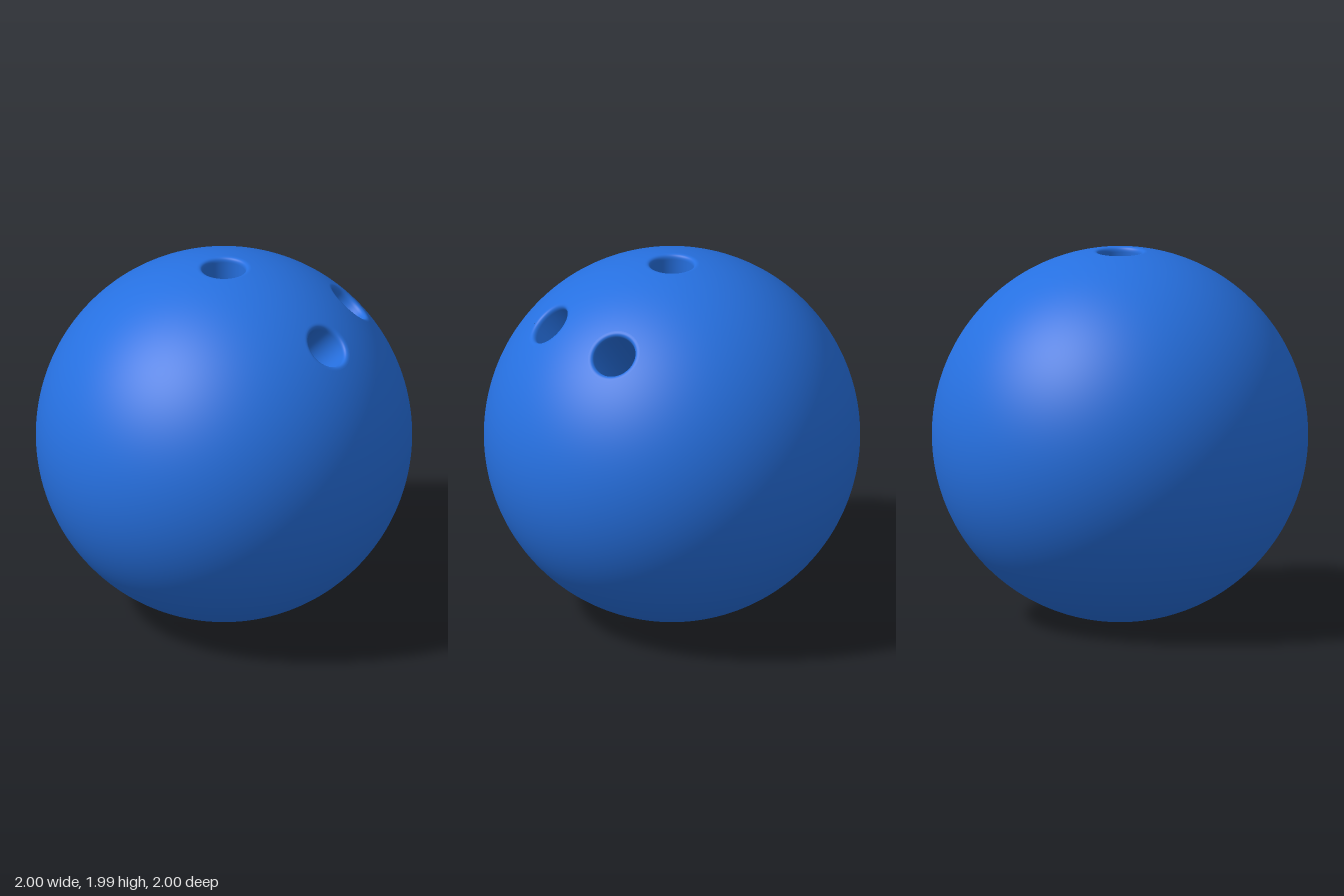
import * as THREE from 'three';

const RIM = 0.145, BORE = 0.115, RIM_Y = Math.sqrt(1 - RIM * RIM);

// Ball surface, opened around each hole axis with the border snapped to a true circle
function openSphere(axes) {
  const src = new THREE.IcosahedronGeometry(1, 52).getAttribute('position');
  const out = [];
  for (let i = 0; i < src.count; i += 3) {
    const tri = [0, 1, 2].map(k => new THREE.Vector3().fromBufferAttribute(src, i + k).normalize());
    if (axes.some(a => tri.every(p => p.dot(a) > RIM_Y))) continue;
    for (const p of tri) {
      const a = axes.find(axis => p.dot(axis) > RIM_Y);
      if (a) p.addScaledVector(a, -p.dot(a)).setLength(RIM).addScaledVector(a, RIM_Y);
      out.push(p.x, p.y, p.z);
    }
  }
  const geo = new THREE.BufferGeometry();
  geo.setAttribute('position', new THREE.Float32BufferAttribute(out, 3));
  geo.setAttribute('normal', new THREE.Float32BufferAttribute(out, 3)); // unit sphere: normal = position
  return geo;
}

// Drilled hole: rounded rim, straight wall and conical bottom, along the given axis
function makeHole(name, axis, depth, material) {
  const hole = new THREE.Group();
  hole.name = name;
  const slope = RIM / RIM_Y, floor = 1 - depth;
  const rim = new THREE.QuadraticBezierCurve(
    new THREE.Vector2(RIM, RIM_Y),
    new THREE.Vector2(BORE, RIM_Y + (RIM - BORE) * slope),
    new THREE.Vector2(BORE, 0.962)
  ).getPoints(10);
  const wall = new THREE.Mesh(
    new THREE.LatheGeometry([...rim, new THREE.Vector2(BORE, floor)], 64), material);
  wall.name = name + 'Wall';
  const bottom = new THREE.Mesh(
    new THREE.LatheGeometry([new THREE.Vector2(BORE, floor), new THREE.Vector2(0, floor - 0.06)], 64), material);
  bottom.name = name + 'Bottom';
  hole.add(wall, bottom);
  hole.quaternion.setFromUnitVectors(new THREE.Vector3(0, 1, 0), axis);
  return hole;
}

export function createModel() {
  const material = new THREE.MeshStandardMaterial({ color: 0x2670e0 });
  const thumb = new THREE.Vector3(0, 1, 0);
  const fingers = [1, -1].map(s => new THREE.Vector3(0.63, 0.73, 0.27 * s).normalize());

  const ball = new THREE.Group();
  ball.name = 'ball';
  const shell = new THREE.Mesh(openSphere([thumb, ...fingers]), material);
  shell.name = 'shell';
  ball.add(
    shell,
    makeHole('thumbHole', thumb, 0.5, material),
    makeHole('frontFingerHole', fingers[0], 0.45, material),
    makeHole('backFingerHole', fingers[1], 0.45, material)
  );
  ball.position.y = 1;

  const model = new THREE.Group();
  model.name = 'drilledBall';
  model.add(ball);
  return model;
}
